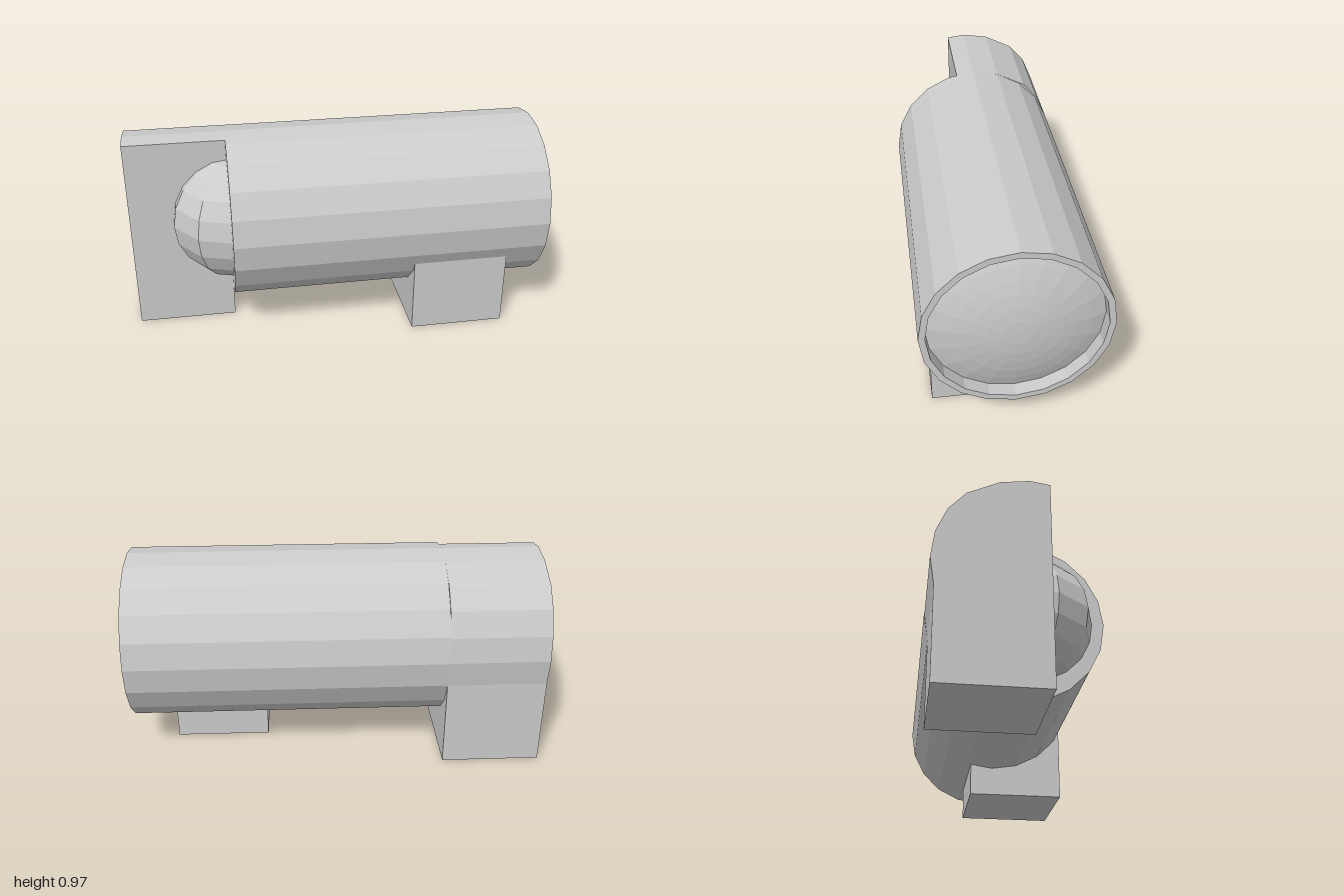
import * as THREE from 'three';

const material = new THREE.MeshStandardMaterial({ color: 0xcccccc, flatShading: true });
const AXIS_Y = 0.557, SIDES = 20;

export function createModel() {
  const model = new THREE.Group();
  const add = (name, geometry, x, y, z) => {
    const mesh = new THREE.Mesh(geometry, material);
    mesh.name = name;
    mesh.position.set(x, y, z);
    model.add(mesh);
  };
  // Lathe profile of [radius, x] pairs, turned to lie along x
  const latheX = (pts) => new THREE.LatheGeometry(
    pts.map(([r, x]) => new THREE.Vector2(r, x)), SIDES).rotateZ(-Math.PI / 2);

  // Main tube with closed rear and recessed rim at the front end
  add('barrel', latheX([[0, -0.525], [0.414, -0.525], [0.414, 0.985], [0.385, 0.985], [0.385, 0.9]]), 0, AXIS_Y, 0);

  // Shallow convex lens set inside the rim
  const lens = [], R = 0.96, rings = 6;
  for (let i = 0; i <= rings; i++) {
    const r = 0.385 * (1 - i / rings);
    lens.push([r, 1 - R + Math.sqrt(R * R - r * r)]);
  }
  add('lens', latheX(lens), 0, AXIS_Y, 0);

  // Rear block: flat front, curved back and top; shape x is -z
  const outline = [[-0.087, 0], [0.394, 0], [0.394, 0.429], [0.412, 0.557], [0.396, 0.68],
    [0.347, 0.795], [0.27, 0.882], [0.128, 0.951], [0, 0.97], [-0.087, 0.957]];
  const shape = new THREE.Shape(outline.map(([u, v]) => new THREE.Vector2(u, v)));
  const block = new THREE.ExtrudeGeometry(shape, { depth: 0.475, bevelEnabled: false });
  add('rearBlock', block.rotateY(Math.PI / 2), -1, 0, 0);

  // Faceted knob between the barrel end and the rear block
  add('rearKnob', new THREE.SphereGeometry(0.306, 10, 10, Math.PI / 10), -0.5, AXIS_Y, 0.06);

  // Box foot under the front half
  add('frontFoot', new THREE.BoxGeometry(0.462, 0.366, 0.473), 0.572, 0.183, 0.125);

  return model;
}
